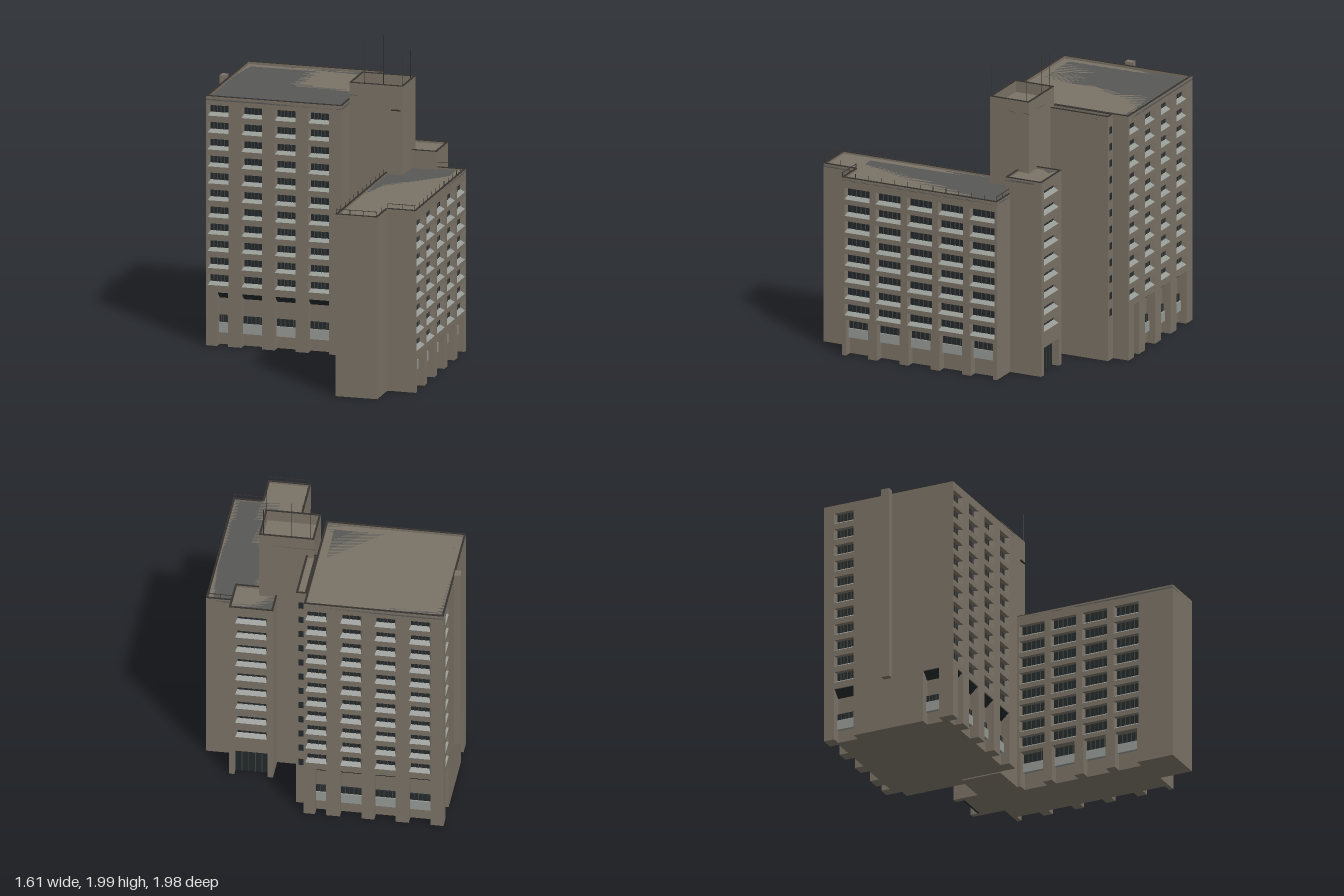
import * as THREE from 'three';
import { mergeGeometries } from 'three/addons/utils/BufferGeometryUtils.js';

const paint = (color, side = THREE.FrontSide) => new THREE.MeshStandardMaterial({ color, side });
const WALL = paint(0x7a7266), ROOF = paint(0x575756), DARK = paint(0x35322f);
const GLASS = paint(0x23292b), LIGHT = paint(0x969a95, THREE.DoubleSide), FRAME = paint(0x454442);
const D = 0.06; // facade thickness

const mesh = (name, geo, mat) => {
  const m = new THREE.Mesh(geo, mat);
  m.name = name;
  return m;
};

// box from min/max limits, without uv so that it merges with plain quads
function box(x0, x1, y0, y1, z0, z1) {
  const g = new THREE.BoxGeometry(x1 - x0, y1 - y0, z1 - z0).toNonIndexed();
  g.translate((x0 + x1) / 2, (y0 + y1) / 2, (z0 + z1) / 2);
  g.deleteAttribute('uv');
  return g;
}

// four corners, counter-clockwise from the visible side
function quad(a, b, c, d) {
  const g = new THREE.BufferGeometry();
  g.setAttribute('position', new THREE.Float32BufferAttribute([a, b, c, a, c, d].flat(), 3));
  g.computeVertexNormals();
  return g;
}

// vertical prism over a plan outline of [x, z] points
function prism(points, y0, y1) {
  const shape = new THREE.Shape(points.map(([x, z]) => new THREE.Vector2(x, -z)));
  const g = new THREE.ExtrudeGeometry(shape, { depth: y1 - y0, bevelEnabled: false });
  return g.rotateX(-Math.PI / 2).translate(0, y0, 0);
}

const rect = (x0, x1, z0, z1) => [[x0, z1], [x1, z1], [x1, z0], [x0, z0]];

// walk the edges of an outline (front edge first, going towards +x)
function eachEdge(points, fn) {
  points.forEach((p, i) => {
    const q = points[(i + 1) % points.length];
    const dx = q[0] - p[0], dz = q[1] - p[1];
    fn(p, q, Math.hypot(dx, dz), Math.atan2(-dz, dx));
  });
}

// recessed flat roof with a thin parapet and dark coping
function roof(parent, name, points, top, drop) {
  const t = 0.012, wall = [], cap = [];
  eachEdge(points, (p, q, len, angle) => {
    const place = g => g.rotateY(angle).translate(p[0], 0, p[1]);
    wall.push(place(box(0, len, top - drop, top - 0.004, -t, 0)));
    cap.push(place(box(0, len, top - 0.004, top, -t, 0)));
  });
  parent.add(mesh(name + 'Roof', prism(points, top - drop - 0.01, top - drop), ROOF));
  parent.add(mesh(name + 'Parapet', mergeGeometries(wall), WALL));
  parent.add(mesh(name + 'Coping', mergeGeometries(cap), DARK));
}

// wall slab facing +z with splayed windows and open ground bays
// bays: { x, w } openings up to bay.h with glazing and a light panel set back
function facade(name, width, height, windows, bays = [], bay = {}) {
  const group = new THREE.Group();
  group.name = name;
  const glass = [], sills = [], bars = [], reveals = [], panels = [];
  const outline = [[-width / 2, 0]];
  [...bays].sort((a, b) => a.x - b.x).forEach(({ x, w }) => {
    const l = x - w / 2, r = x + w / 2;
    outline.push([l, 0], [l, bay.h], [r, bay.h], [r, 0]);
    glass.push(box(l, r, bay.glass[0], bay.glass[1], -D, -D + 0.012));
    if (bay.panel) panels.push(box(l, r, bay.panel[0], bay.panel[1], -D, -D + 0.022));
    if (bay.soffit) glass.push(quad([l, bay.soffit, -D + 0.004], [r, bay.soffit, -D + 0.004],
      [r, bay.h, -0.008], [l, bay.h, -0.008]));
    for (let i = 1; i < 5; i++) {
      const bx = l + w * i / 5;
      bars.push(box(bx - 0.002, bx + 0.002, bay.glass[0], bay.glass[1], -D, -D + 0.016));
    }
  });
  outline.push([width / 2, 0], [width / 2, height], [-width / 2, height]);
  const shape = new THREE.Shape(outline.map(p => new THREE.Vector2(...p)));
  windows.forEach(({ x, w, y, h }) => {
    const l = x - w / 2, r = x + w / 2, top = y + h, z = -0.03;
    const il = l + 0.01, ir = r - 0.01, iy = y + 0.02;
    shape.holes.push(new THREE.Path([[l, y], [l, top], [r, top], [r, y]].map(p => new THREE.Vector2(...p))));
    glass.push(box(l, r, y, top, z - 0.005, z));
    sills.push(quad([l, y, 0], [r, y, 0], [ir, iy, z], [il, iy, z]));
    reveals.push(quad([l, y, 0], [il, iy, z], [il, top, z], [l, top, 0]));
    reveals.push(quad([ir, iy, z], [r, y, 0], [r, top, 0], [ir, top, z]));
    for (let i = 1; i < 5; i++) {
      const bx = il + (ir - il) * i / 5;
      bars.push(box(bx - 0.002, bx + 0.002, iy, top, z, z + 0.005));
    }
  });
  const slab = new THREE.ExtrudeGeometry(shape, { depth: D, bevelEnabled: false }).translate(0, 0, -D);
  group.add(mesh('wall', slab, WALL));
  const add = (n, list, mat) => list.length && group.add(mesh(n, mergeGeometries(list), mat));
  add('windowGlass', glass, GLASS);
  add('windowSills', sills, LIGHT);
  add('windowReveals', reveals, WALL);
  add('windowBars', bars, FRAME);
  add('groundPanels', panels, LIGHT);
  return group;
}

const windowGrid = (columns, w, rows, y0, step, h) =>
  columns.flatMap(x => Array.from({ length: rows }, (_, i) => ({ x, w, y: y0 + i * step, h })));

function put(parent, part, x, z, turn) {
  part.position.set(x, 0, z);
  part.rotation.y = turn * Math.PI / 2;
  parent.add(part);
}

function mainBlock() {
  const g = new THREE.Group();
  g.name = 'mainBlock';
  const [x0, x1, z0, z1, H] = [-0.812, 0.07, -0.925, -0.03, 1.61];
  const cx = (x0 + x1) / 2, cz = (z0 + z1) / 2, wide = x1 - x0, deep = z1 - z0 - 2 * D, h = H - 0.02;
  const columns = [-0.364, -0.145, 0.072, 0.29];
  const bay = { h: 0.345, glass: [0.145, 0.19], panel: [0.08, 0.145], soffit: 0.3 };
  const bays = columns.map((x, i) => (i ? { x, w: 0.135 } : { x: -0.335, w: 0.07 }));
  const grid = cols => windowGrid(cols, 0.135, 11, 0.39, 0.109, 0.07);
  g.add(mesh('core', prism(rect(x0 + D, x1 - D, z0 + D, z1 - D), 0, h), WALL));
  put(g, facade('frontFacade', wide, h, grid(columns), bays, bay), cx, z1, 0);
  put(g, facade('backFacade', wide, h, grid(columns), bays, bay), cx, z0, 2);
  put(g, facade('leftFacade', deep, h, []), x1, cz, 1);
  put(g, facade('rightFacade', deep, h, grid([-0.31]),
    [{ x: -0.31, w: 0.135 }, { x: 0.295, w: 0.11 }], bay), x0, cz, -1);
  roof(g, 'main', rect(x0, x1, z0, z1), H, 0.02);
  // exhaust duct on the outer side
  g.add(mesh('duct', box(x0 - 0.04, x0, 0.34, 1.63, -0.51, -0.455), WALL));
  // narrow service shaft with small windows
  g.add(mesh('serviceShaft', prism(rect(x1, 0.137, -0.816, -0.4), 0, h), WALL));
  roof(g, 'serviceShaft', rect(x1, 0.137, -0.816, -0.4), H, 0.02);
  const slots = Array.from({ length: 12 }, (_, i) =>
    box(0.09, 0.12, 0.29 + i * 0.109, 0.335 + i * 0.109, -0.818, -0.81));
  g.add(mesh('shaftWindows', mergeGeometries(slots), GLASS));
  return g;
}

function wing() {
  const g = new THREE.Group();
  g.name = 'wing';
  const [x0, x1, z0, z1, H] = [0.321, 0.777, -0.362, 0.72, 1.175];
  const deep = z1 - z0, cz = (z0 + z1) / 2, h = H - 0.015, stairX = 0.592, stairZ = 0.94;
  const columns = [-2, -1, 0, 1, 2].map(i => i * 0.218);
  const bay = { h: 0.235, glass: [0.17, 0.235], panel: [0.11, 0.17] };
  const side = (name, cols) => facade(name, deep, h,
    windowGrid(cols, 0.175, 8, 0.265, 0.109, 0.076), cols.map(x => ({ x, w: 0.155 })), bay);
  const plan = [[x0, stairZ], [stairX, stairZ], [stairX, z1], [x1, z1], [x1, z0], [x0, z0]];
  g.add(mesh('core', prism(rect(x0 + D, x1 - D, z0, z1), 0, h), WALL));
  g.add(mesh('stairCore', prism(rect(x0, stairX, z1, stairZ), 0, h), WALL));
  put(g, side('leftFacade', columns), x1, cz, 1);
  put(g, side('rightFacade', columns.slice(1)), x0, cz, -1);
  roof(g, 'wing', plan, H, 0.015);
  // roof railing
  const rail = [];
  eachEdge(plan, (p, q, len, angle) => {
    const n = Math.max(2, Math.round(len / 0.09)), parts = [];
    for (let i = 0; i < n; i++) parts.push(box(i * len / n, i * len / n + 0.003, H - 0.01, 1.205, -0.008, -0.005));
    if (Math.abs(p[1] - q[1]) < 0.01) parts.push(box(0, len, 1.202, 1.205, -0.008, -0.005));
    rail.push(mergeGeometries(parts).rotateY(angle).translate(p[0], 0, p[1]));
  });
  g.add(mesh('railing', mergeGeometries(rail), DARK));
  return g;
}

function rearBlock() {
  const g = new THREE.Group();
  g.name = 'rearBlock';
  const [x0, x1, z0, z1, H] = [0.319, 0.597, -0.581, -0.33, 1.28];
  g.add(mesh('body', prism(rect(x0, x1, z0 + D, z1), 0, H - 0.015), WALL));
  const back = facade('backFacade', x1 - x0, H - 0.015, windowGrid([0], 0.2, 9, 0.285, 0.109, 0.055),
    [{ x: 0, w: 0.21 }], { h: 0.18, glass: [0, 0.18] });
  put(g, back, (x0 + x1) / 2, z0, 2);
  roof(g, 'rear', rect(x0, x1, z0, z1), H, 0.015);
  return g;
}

function tower() {
  const g = new THREE.Group();
  g.name = 'liftTower';
  const plan = rect(0.086, 0.435, -0.413, -0.141);
  g.add(mesh('body', prism(plan, 0, 1.66), WALL));
  roof(g, 'tower', plan, 1.735, 0.075);
  g.add(mesh('bracket', box(0.36, 0.42, 1.573, 1.58, -0.141, -0.13), DARK));
  // antennas: x, z, top
  [[0.11, -0.392, 1.95], [0.23, -0.4, 1.985], [0.41, -0.385, 1.905], [0.428, -0.147, 1.92]].forEach(([x, z, top]) => {
    const mast = mesh('antenna', new THREE.CylinderGeometry(0.0022, 0.0022, top - 1.6, 6), DARK);
    mast.position.set(x, (top + 1.6) / 2, z);
    g.add(mast);
  });
  return g;
}

export function createModel() {
  const model = new THREE.Group();
  model.name = 'officeBuilding';
  const site = new THREE.Group();
  site.name = 'buildings';
  site.add(mainBlock(), wing(), rearBlock(), tower());
  site.rotation.y = -0.09; // the plan sits slightly skewed
  model.add(site);
  return model;
}
